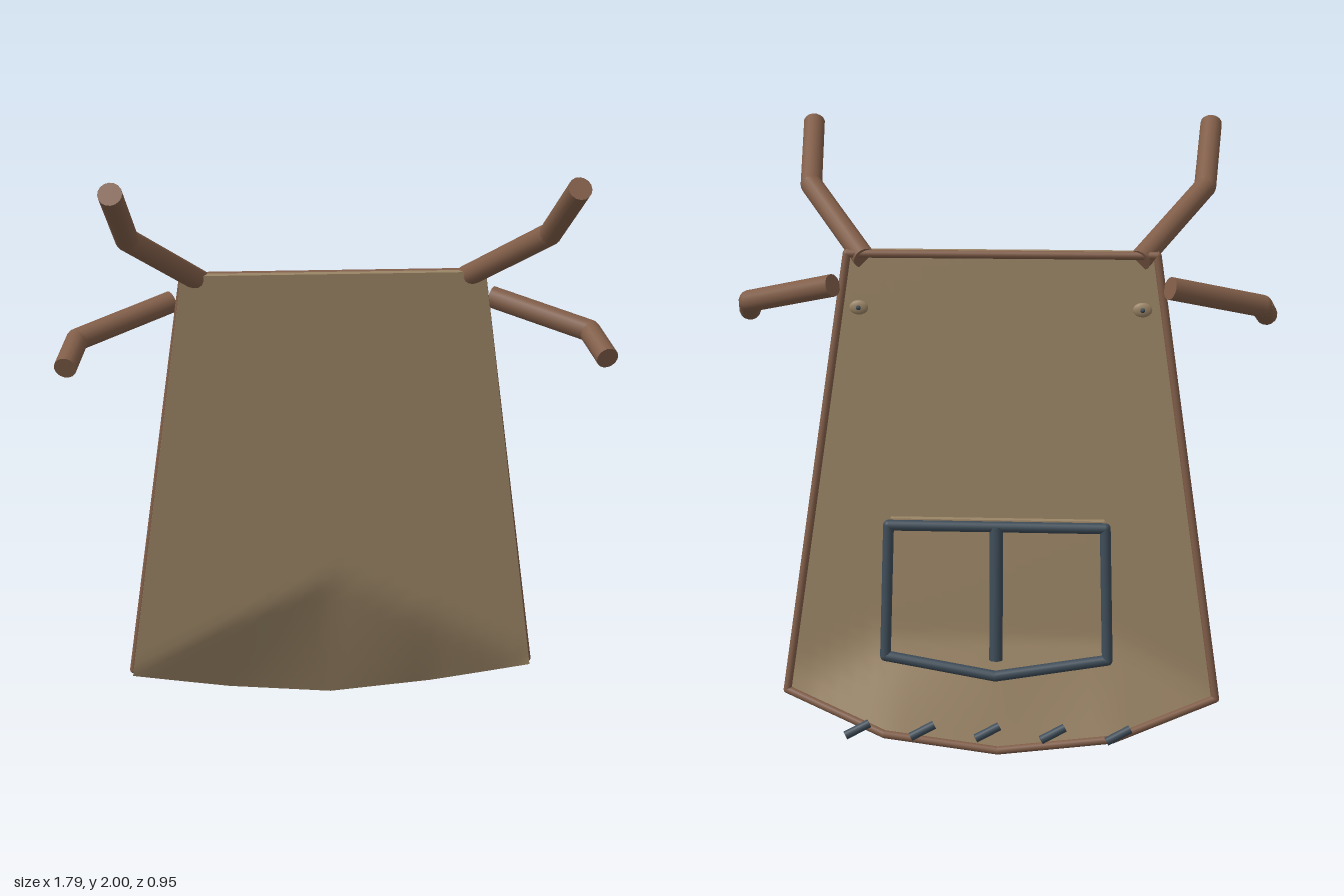
import * as THREE from 'three';

const mat = (name, color) => {
  const m = new THREE.MeshStandardMaterial({ color });
  m.name = name;
  return m;
};
const V = (x, y, z) => new THREE.Vector3(x, y, z);
const lerp = THREE.MathUtils.lerp;

// Closed sheet: front(s, v) gives the front face for s in -1..1 and v in 0 (top)..1 (bottom)
function sheet(front, thickness, cols, rows) {
  const pos = [], idx = [];
  const put = (s, v, back) => {
    const p = front(s, v);
    pos.push(p.x, p.y, p.z - (back ? thickness : 0));
    return pos.length / 3 - 1;
  };
  const sAt = (i) => (i / cols) * 2 - 1;
  for (const back of [false, true]) {
    const base = pos.length / 3;
    for (let j = 0; j <= rows; j++)
      for (let i = 0; i <= cols; i++) put(sAt(i), j / rows, back);
    for (let j = 0; j < rows; j++)
      for (let i = 0; i < cols; i++) {
        const a = base + j * (cols + 1) + i, b = a + 1, c = a + cols + 1, d = c + 1;
        if (back) idx.push(a, b, c, b, d, c);
        else idx.push(a, c, b, b, c, d);
      }
  }
  // edge walls, walked anticlockwise as seen from the front
  const ring = [];
  for (let j = 0; j < rows; j++) ring.push([-1, j / rows]);
  for (let i = 0; i < cols; i++) ring.push([sAt(i), 1]);
  for (let j = rows; j > 0; j--) ring.push([1, j / rows]);
  for (let i = cols; i > 0; i--) ring.push([sAt(i), 0]);
  ring.forEach((p, k) => {
    const q = ring[(k + 1) % ring.length];
    const a = put(...p, false), b = put(...q, false), c = put(...p, true), d = put(...q, true);
    idx.push(a, c, b, b, c, d);
  });
  const g = new THREE.BufferGeometry();
  g.setAttribute('position', new THREE.Float32BufferAttribute(pos, 3));
  g.setIndex(idx);
  g.computeVertexNormals();
  return g;
}

// Rods joined end to end with rounded elbows
function rods(name, points, radius, material, closed = false) {
  const g = new THREE.Group();
  g.name = name;
  const n = points.length;
  points.forEach((a, i) => {
    if (closed || (i > 0 && i < n - 1)) {
      const joint = new THREE.Mesh(new THREE.SphereGeometry(radius, 16, 10), material);
      joint.name = name + 'Joint';
      joint.position.copy(a);
      g.add(joint);
    }
    if (!closed && i === n - 1) return;
    const b = points[(i + 1) % n];
    const rod = new THREE.Mesh(new THREE.CylinderGeometry(radius, radius, a.distanceTo(b), 16), material);
    rod.name = name + 'Rod';
    rod.position.copy(a).add(b).multiplyScalar(0.5);
    rod.quaternion.setFromUnitVectors(V(0, 1, 0), b.clone().sub(a).normalize());
    g.add(rod);
  });
  return g;
}

// Piecewise value along half the width: centre, middle, side
const across = (s, centre, middle, side) => {
  const a = Math.abs(s);
  return a < 0.5 ? lerp(centre, middle, a * 2) : lerp(middle, side, a * 2 - 1);
};

export function createModel() {
  const model = new THREE.Group();
  model.name = 'apron';
  const cloth = mat('tan cloth', 0x9a8465);
  const leather = mat('brown leather', 0x805d48);
  const trim = mat('slate trim', 0x3d4b57);

  const add = (name, geometry, material) => {
    const m = new THREE.Mesh(geometry, material);
    m.name = name;
    model.add(m);
    return m;
  };

  // Main panel, leaning back, its lower middle swept further back
  const panel = (s, v) => {
    const low = across(s, 0.018, 0.055, 0.16);
    const y = lerp(1.61, low, v);
    const x = s * lerp(0.495, across(s, 0.73, 0.73, 0.705), v);
    const fold = across(s, 0.53, 0.36, 0.17);
    const bend = Math.max(0, (fold - y) / (fold - low));
    const z = -0.085 - (1.61 - y) * 0.06 - bend * across(s, 0.115, 0.107, 0);
    return V(x, y, z);
  };
  add('apronPanel', sheet(panel, 0.035, 24, 32), cloth);

  // Binding round the back of the panel
  model.add(rods('binding', [
    V(-0.49, 1.6, -0.135), V(-0.705, 0.16, -0.225), V(-0.37, 0.056, -0.335), V(0, 0.016, -0.352),
    V(0.37, 0.056, -0.335), V(0.705, 0.16, -0.225), V(0.49, 1.6, -0.135),
  ], 0.013, leather, true));

  // Neck straps, waist ties and studs, mirrored
  for (const side of [1, -1]) {
    const word = side > 0 ? 'left' : 'right';
    model.add(rods(word + 'NeckStrap', [
      V(side * 0.435, 1.585, -0.13), V(side * 0.65, 1.785, 0.18), V(side * 0.68, 1.972, 0.455),
    ], 0.036, leather));
    model.add(rods(word + 'WaistTie', [
      V(side * 0.53, 1.505, -0.18), V(side * 0.83, 1.425, -0.015), V(side * 0.86, 1.372, 0.135),
    ], 0.036, leather));
    const stud = add(word + 'Stud', new THREE.SphereGeometry(1, 16, 12), cloth);
    stud.scale.set(0.03, 0.023, 0.01);
    stud.position.set(side * 0.445, 1.44, -0.205);
    const pin = add(word + 'StudPin', new THREE.ConeGeometry(0.011, 0.022, 10), trim);
    pin.rotation.x = -Math.PI / 2;
    pin.position.set(side * 0.445, 1.44, -0.219);
  }

  // Back pocket with its piping and centre seam
  const pocket = (s, v) => {
    const a = Math.abs(s);
    const y = lerp(0.8, lerp(0.315, 0.37, a), v);
    const bend = Math.max(0, (0.42 - y) / 0.105);
    return V(s * lerp(0.335, 0.352, v), y, -0.348 - (0.8 - y) * 0.085 - bend * 0.025);
  };
  add('pocketPanel', sheet(pocket, 0.024, 12, 20), cloth);
  model.add(rods('pocketPiping', [
    V(-0.338, 0.785, -0.395), V(-0.35, 0.365, -0.43), V(0, 0.315, -0.458),
    V(0.35, 0.365, -0.43), V(0.338, 0.785, -0.395),
  ], 0.017, trim, true));
  model.add(rods('pocketSeam', [V(0, 0.785, -0.395), V(0, 0.36, -0.435)], 0.021, trim));

  // Slanted stitches along the hem
  for (let i = 0; i < 5; i++) {
    const x = -0.39 + i * 0.212;
    model.add(rods('hemStitch', [V(x - 0.038, 0.09, -0.328), V(x + 0.038, 0.055, -0.35)], 0.014, trim));
  }
  return model;
}
